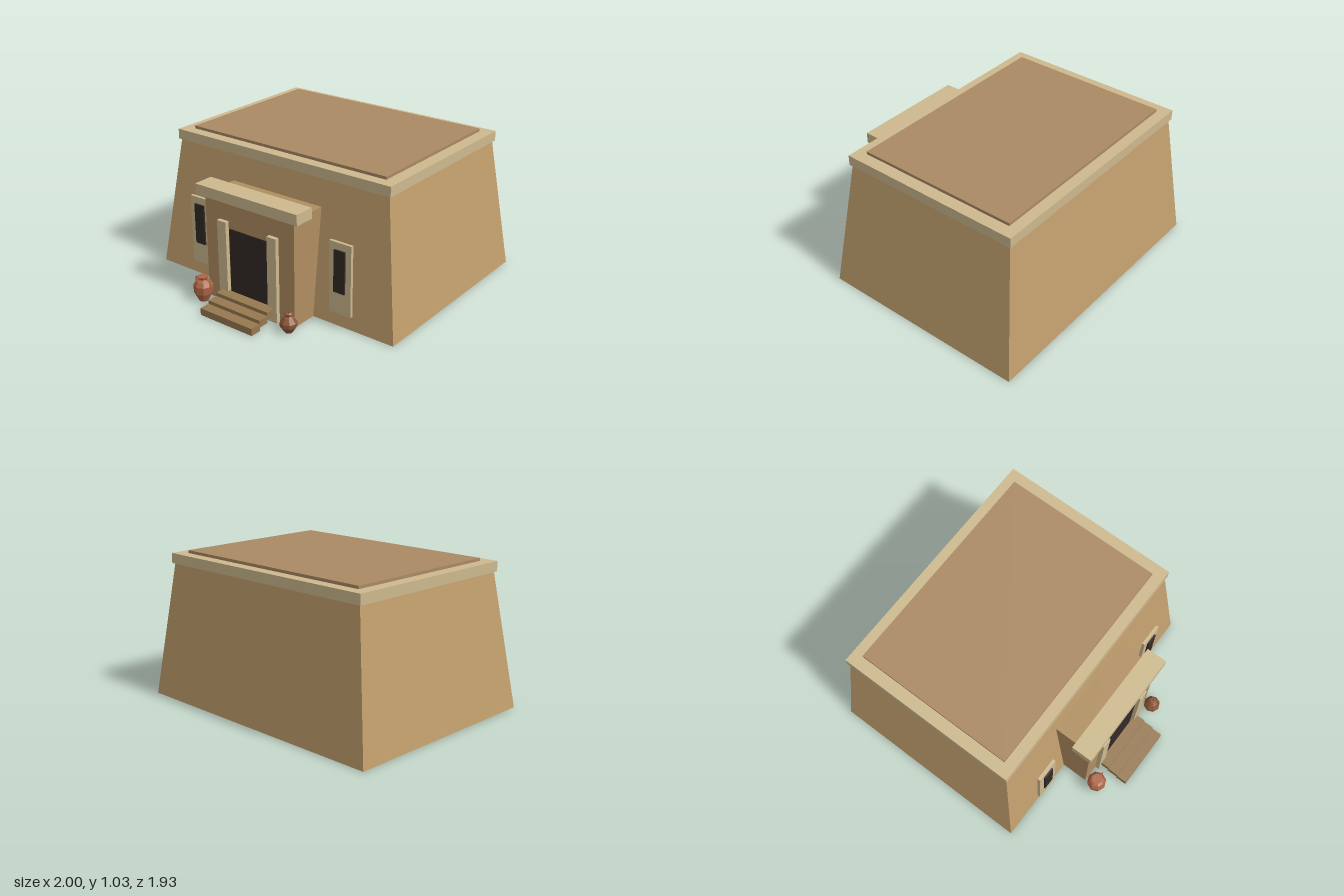
import * as THREE from 'three';

const mat = (color) => new THREE.MeshStandardMaterial({ color, flatShading: true });
const WALL = mat(0xc19f6d), TRIM = mat(0xcdb98e), PORCH = mat(0xb08e60), ROOF = mat(0xab8a63);
const STEP = mat(0x967850), DARK = mat(0x322a26), CLAY = mat(0xac6544), BROWN = mat(0x8a5538);

export function createModel() {
  const model = new THREE.Group();
  model.name = 'adobeTemple';

  const add = (name, geometry, material, parent = model) => {
    const mesh = new THREE.Mesh(geometry, material);
    mesh.name = name;
    parent.add(mesh);
    return mesh;
  };
  // Box given by its extents on each axis
  const box = (name, material, [x0, x1], [y0, y1], [z0, z1]) => {
    const g = new THREE.BoxGeometry(x1 - x0, y1 - y0, z1 - z0);
    g.translate((x0 + x1) / 2, (y0 + y1) / 2, (z0 + z1) / 2);
    return add(name, g, material);
  };

  // Battered walls: a box whose top is drawn inwards
  const walls = new THREE.BoxGeometry(2, 0.95, 1.495);
  const p = walls.attributes.position;
  for (let i = 0; i < p.count; i++) {
    if (p.getY(i) > 0) p.setXYZ(i, p.getX(i) * 0.868, p.getY(i), p.getZ(i) * 0.853);
  }
  walls.translate(0, 0.475, -0.22);
  walls.computeVertexNormals();
  add('walls', walls, WALL);

  // Cornice and roof slab
  box('cornice', TRIM, [-0.885, 0.885], [0.94, 1.01], [-0.873, 0.433]);
  box('roof', ROOF, [-0.8, 0.8], [1, 1.03], [-0.797, 0.355]);

  // Porch with lintel and doorway
  box('porch', PORCH, [-0.373, 0.373], [0, 0.75], [0.3, 0.72]);
  box('lintel', TRIM, [-0.425, 0.425], [0.74, 0.815], [0.607, 0.755]);
  box('doorway', DARK, [-0.165, 0.165], [0, 0.55], [0.7, 0.727]);

  // Door pillars and windows, mirrored
  for (const s of [-1, 1]) {
    const span = (c, w) => [s * c - w / 2, s * c + w / 2];
    box('doorPillar', TRIM, span(0.211, 0.075), [0, 0.6], [0.69, 0.75]);
    box('windowFrame', TRIM, span(0.6, 0.17), [0.1, 0.6], [0.525, 0.547]);
    box('windowOpening', DARK, span(0.6, 0.085), [0.255, 0.55], [0.535, 0.559]);
  }

  // Three overlapping steps
  for (let i = 0; i < 3; i++) {
    const y = i * 0.025, z = 0.967 - i * 0.077;
    box('step', STEP, [-0.222, 0.222], [y, y + 0.05], [z - 0.08, z]);
  }

  // Clay pots: faceted lathes
  const pot = (name, material, x, z, profile) => {
    const group = new THREE.Group();
    group.name = name;
    group.position.set(x, 0, z);
    model.add(group);
    const points = profile.map(([r, y]) => new THREE.Vector2(r, y));
    add('potBody', new THREE.LatheGeometry(points, 8), material, group);
    return group;
  };
  const amphora = pot('tallPot', CLAY, -0.353, 0.8, [
    [0, 0], [0.034, 0], [0.064, 0.06], [0.068, 0.115], [0.05, 0.145],
    [0.03, 0.157], [0.038, 0.176], [0, 0.176]]);
  pot('smallPot', BROWN, 0.371, 0.78, [
    [0, 0], [0.028, 0], [0.058, 0.045], [0.058, 0.072], [0.034, 0.105], [0.022, 0.114],
    [0.022, 0.122], [0.03, 0.128], [0.03, 0.134], [0.02, 0.142], [0.01, 0.142], [0.01, 0.125], [0, 0.125]]);

  // Looped handles on the tall pot
  for (const s of [-1, 1]) {
    const curve = new THREE.CatmullRomCurve3([
      new THREE.Vector3(s * 0.062, 0.1, 0), new THREE.Vector3(s * 0.066, 0.135, 0),
      new THREE.Vector3(s * 0.058, 0.158, 0), new THREE.Vector3(s * 0.033, 0.162, 0)]);
    add('potHandle', new THREE.TubeGeometry(curve, 6, 0.005, 5), CLAY, amphora);
  }
  return model;
}
